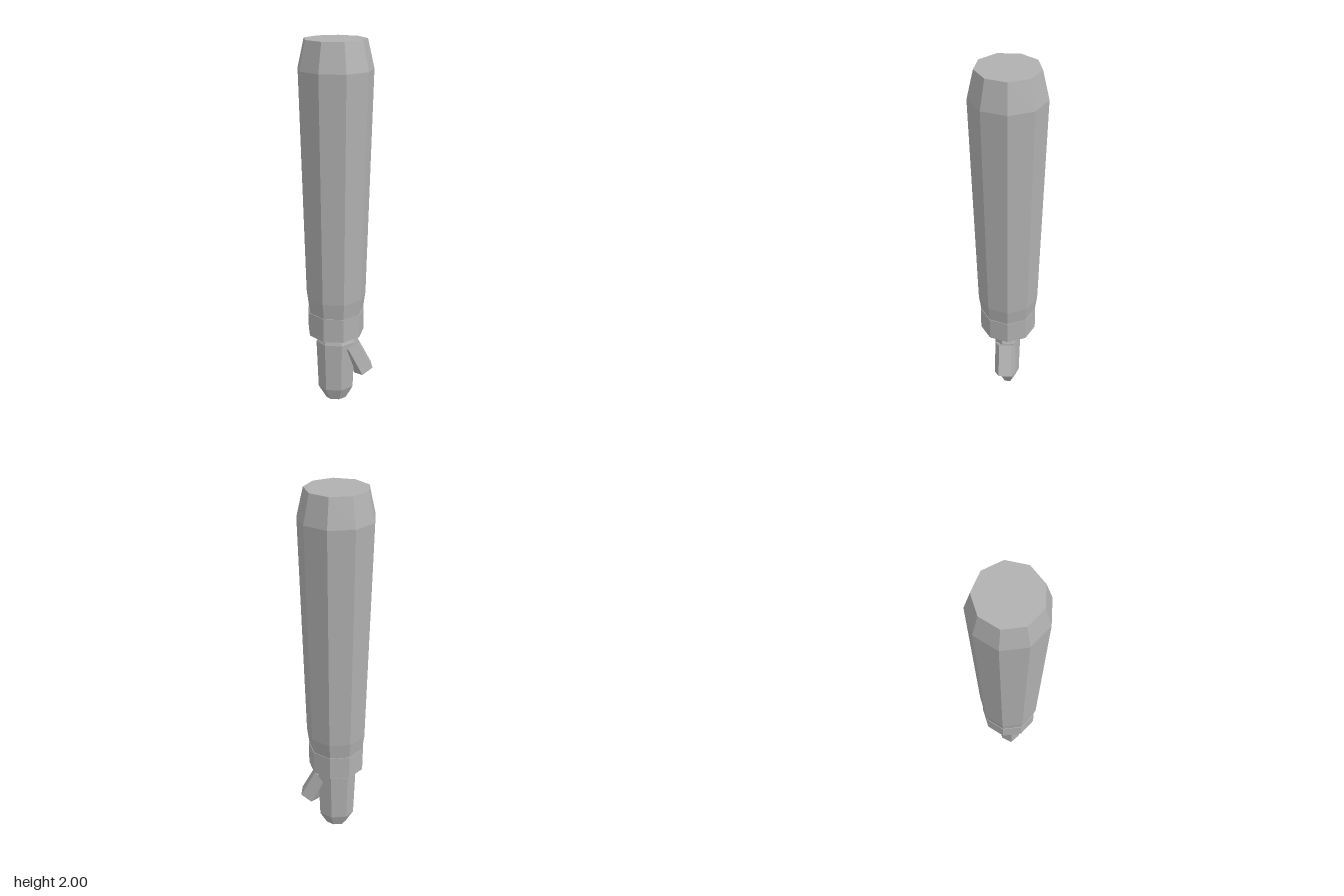
import * as THREE from 'three';

const grey = new THREE.MeshStandardMaterial({ color: 0xb0b0b0, flatShading: true });
grey.name = 'grey';

// Closed faceted solid from a bottom-to-top [radius, y] profile; start turns the first corner
function facetedPart(name, profile, sides, start) {
  const points = [[0, profile[0][1]], ...profile, [0, profile.at(-1)[1]]]
    .map(([r, y]) => new THREE.Vector2(r, y));
  const mesh = new THREE.Mesh(new THREE.LatheGeometry(points, sides, start), grey);
  mesh.name = name;
  return mesh;
}

export function createModel() {
  const model = new THREE.Group();
  model.name = 'arm';

  // Nine-sided sleeve, one corner facing +x
  const sleeve = facetedPart('sleeve',
    [[0.148, 0.53], [0.152, 0.56], [0.164, 0.65], [0.193, 1.855], [0.159, 2]], 9, Math.PI / 2);
  sleeve.position.x = -0.013;

  // Straight cuff around the narrow end of the sleeve
  const cuff = facetedPart('cuff', [[0.155, 0.425], [0.155, 0.56]], 9, Math.PI / 2);
  cuff.position.x = -0.013;

  // Seven-sided flattened hand, flat side facing +x
  const hand = facetedPart('hand',
    [[0.058, 0], [0.1, 0.075], [0.11, 0.36], [0.079, 0.43]], 7, -Math.PI / 2);
  hand.position.set(-0.01, 0, 0.002);
  hand.scale.z = 0.68;

  // Five-sided thumb leaning outwards
  const thumb = facetedPart('thumb', [[0.06, -0.09], [0.058, 0.09]], 5, -Math.PI / 2);
  thumb.position.set(0.107, 0.261, 0.014);
  thumb.rotation.z = 0.455;
  thumb.scale.z = 1.05;

  model.add(sleeve, cuff, hand, thumb);
  return model;
}
